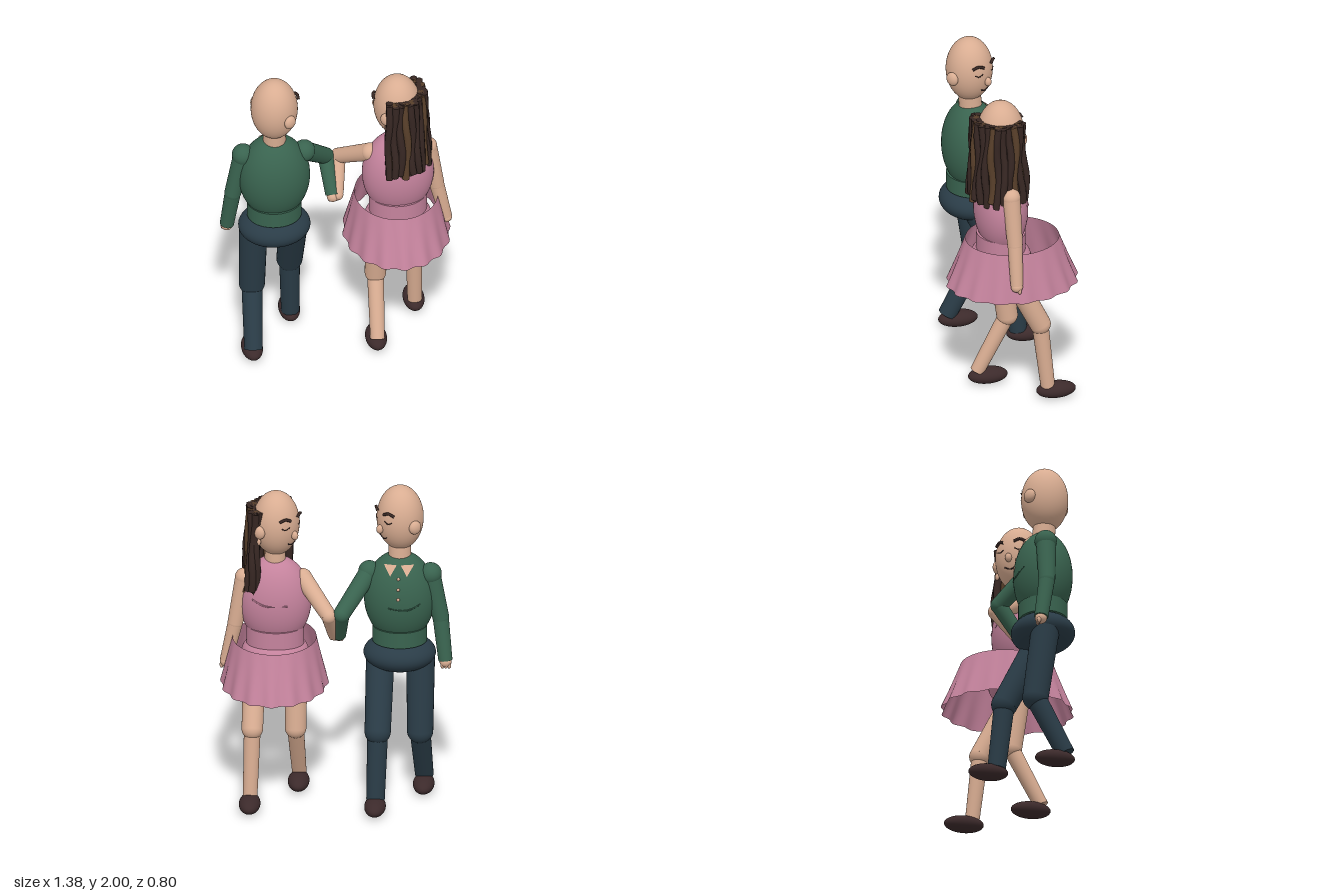
import * as THREE from 'three';

const paint = (name, color) => Object.assign(new THREE.MeshStandardMaterial({ color }), { name });
const V = (x, y, z) => new THREE.Vector3(x, y, z);

export function createModel() {
  const skin = paint('skin', 0xd9ad92);
  const green = paint('green shirt', 0x39634f);
  const navy = paint('navy trousers', 0x2a3c47);
  const pink = paint('pink dress', 0xc5839d);
  const leather = paint('shoe leather', 0x3c2a2b);
  const darkHair = paint('dark hair', 0x372723);
  const lightHair = paint('light hair', 0x583f2a);
  pink.side = THREE.DoubleSide;
  const root = new THREE.Group();
  root.name = 'walkingCouple';

  const add = (parent, name, geo, mat) => {
    const m = new THREE.Mesh(geo, mat);
    m.name = name;
    parent.add(m);
    return m;
  };
  const ball = (parent, name, p, rx, ry, rz, mat, seg = 32) => {
    const m = add(parent, name, new THREE.SphereGeometry(1, seg, Math.ceil(seg * 0.7)), mat);
    m.scale.set(rx, ry, rz);
    m.position.copy(p);
    return m;
  };
  // Tapered rod from a to b
  const rod = (parent, name, a, b, ra, rb, mat) => {
    const d = b.clone().sub(a);
    const m = add(parent, name, new THREE.CylinderGeometry(rb, ra, d.length(), 28), mat);
    m.position.copy(a).addScaledVector(d, 0.5);
    m.quaternion.setFromUnitVectors(V(0, 1, 0), d.normalize());
    return m;
  };
  const line = (parent, name, pts, r, mat, seg = 12, sides = 8) =>
    add(parent, name, new THREE.TubeGeometry(new THREE.CatmullRomCurve3(pts), seg, r, sides), mat);

  // Two-part limb with round joints
  function limb(parent, name, a, b, c, r, mat) {
    const g = new THREE.Group();
    g.name = name;
    parent.add(g);
    ball(g, name + 'UpperJoint', a, r[0], r[0], r[0], mat);
    rod(g, name + 'Upper', a, b, r[1], r[2], mat);
    ball(g, name + 'MiddleJoint', b, r[2], r[2], r[2], mat);
    rod(g, name + 'Lower', b, c, r[3], r[4], mat);
    return g;
  }

  // Arm with a small hand at the wrist
  function arm(parent, name, a, b, c, mat, r) {
    const g = limb(parent, name, a, b, c, r, mat);
    const d = c.clone().sub(b).normalize();
    ball(g, 'hand', c.clone().addScaledVector(d, 0.01), 0.036, 0.034, 0.036, skin, 20);
    for (let i = -1; i <= 1; i++)
      ball(g, 'finger', c.clone().addScaledVector(d, 0.03).add(V(i * 0.02, 0, -0.012)), 0.012, 0.02, 0.012, skin, 10);
  }

  // Bald head whose face points to local -z
  function head(parent, p, yaw, female) {
    const g = new THREE.Group();
    g.name = 'head';
    g.position.copy(p);
    g.rotation.y = yaw;
    parent.add(g);
    const R = 0.14, H = 0.2;
    const on = (a, y, out = 0) => {
      const r = R * Math.sqrt(1 - (y / H) ** 2) + out;
      return V(Math.sin(a) * r, y, -Math.cos(a) * r);
    };
    ball(g, 'skull', V(0, 0, 0), R, H, R, skin, 48);
    ball(g, 'nose', on(0, -0.045, 0.008), 0.02, 0.028, 0.022, skin, 20);
    for (const s of [-1, 1]) {
      ball(g, 'ear', V(s * 0.145, -0.02, 0.01), 0.026, 0.042, 0.04, skin, 24);
      line(g, 'eyebrow', [on(s * 0.22, 0.058, 0.008), on(s * 0.48, 0.072, 0.012), on(s * 0.74, 0.058, 0.01)], 0.009, darkHair);
      line(g, 'closedEye', [on(s * 0.26, 0.015, 0.001), on(s * 0.45, 0.004, 0.001), on(s * 0.64, 0.015, 0.001)], 0.003, darkHair);
      if (female) ball(g, 'earring', V(s * 0.148, -0.08, 0.01), 0.013, 0.022, 0.013, skin, 14);
    }
    line(g, 'mouth', [on(-0.3, -0.098, 0.001), on(0, -0.11, 0.001), on(0.3, -0.094, 0.001)], 0.004, leather);
    return g;
  }

  // Leg with shoe; forward leg swings towards -z
  function leg(parent, name, x, footX, forward, mat, r) {
    const hip = V(x, 0.9, 0.06);
    const knee = forward ? V(x + (footX - x) * 0.3, 0.5, -0.14) : V(x, 0.45, 0.0);
    const ankle = forward ? V(footX, 0.08, -0.185) : V(footX, 0.09, 0.18);
    const g = limb(parent, name, hip, knee, ankle, r, mat);
    ball(g, 'shoe', V(footX, 0.055, forward ? -0.235 : 0.115), 0.064, 0.05, 0.12, leather);
  }

  // ---- Man ----
  const man = new THREE.Group();
  man.name = 'man';
  root.add(man);
  const mx = -0.375;
  head(man, V(mx - 0.002, 1.8, 0.08), -0.93, false);
  rod(man, 'neck', V(mx, 1.5, 0.07), V(mx, 1.66, 0.08), 0.07, 0.066, skin);
  ball(man, 'shirtBody', V(mx, 1.295, 0.07), 0.213, 0.285, 0.175, green, 48);
  const hem = add(man, 'shirtHem', new THREE.CylinderGeometry(0.163, 0.163, 0.1, 40), green);
  hem.position.set(mx, 1.06, 0.07);
  hem.scale.z = 0.9;
  ball(man, 'hips', V(mx, 0.93, 0.07), 0.215, 0.108, 0.19, navy, 48);

  // Front surface of the shirt
  const chest = (cx, cy, w, h, d) => (x, y, out = 0) =>
    V(cx + x, y, 0.07 - d * Math.sqrt(Math.max(0, 1 - (x / w) ** 2 - ((y - cy) / h) ** 2)) - out);
  const shirt = chest(mx, 1.295, 0.213, 0.285, 0.175);
  for (const s of [-1, 1]) {
    const collar = new THREE.BufferGeometry().setFromPoints([
      shirt(s * 0.012, 1.535, 0.012), shirt(s * 0.05, 1.475, 0.01), shirt(s * 0.09, 1.53, 0.012)]);
    collar.setIndex(s > 0 ? [0, 2, 1] : [0, 1, 2]);
    collar.computeVertexNormals();
    add(man, 'collarPoint', collar, skin).material = skin;
  }
  for (const y of [1.46, 1.4, 1.34]) ball(man, 'button', shirt(0, y, 0), 0.01, 0.01, 0.006, skin, 12);
  line(man, 'shirtFold', [shirt(-0.13, 1.3), shirt(-0.05, 1.27), shirt(0.06, 1.28)], 0.005, green);

  const sleeve = [0.066, 0.058, 0.05, 0.048, 0.042];
  arm(man, 'rightArm', V(-0.56, 1.45, 0.05), V(-0.62, 1.17, 0.045), V(-0.65, 0.91, 0.005), green, sleeve);
  arm(man, 'leftArm', V(-0.195, 1.45, 0.06), V(-0.04, 1.25, -0.13), V(-0.018, 1.06, 0.005), green, sleeve);
  const trouser = [0.08, 0.085, 0.078, 0.062, 0.055];
  leg(man, 'rightLeg', -0.5, -0.515, false, navy, trouser);
  leg(man, 'leftLeg', -0.26, -0.245, true, navy, trouser);

  // ---- Woman ----
  const woman = new THREE.Group();
  woman.name = 'woman';
  root.add(woman);
  const wx = 0.365;
  const wHead = head(woman, V(0.36, 1.75, 0.07), 0.93, true);
  rod(woman, 'neck', V(wx, 1.42, 0.07), V(wx, 1.62, 0.07), 0.066, 0.06, skin);
  ball(woman, 'bodice', V(wx, 1.25, 0.07), 0.215, 0.285, 0.16, pink, 48);
  ball(woman, 'hips', V(wx, 0.92, 0.07), 0.2, 0.11, 0.18, pink, 40);
  const waist = add(woman, 'waist', new THREE.CylinderGeometry(0.172, 0.172, 0.12, 40), pink);
  waist.position.set(wx, 1.03, 0.07);
  waist.scale.z = 0.85;
  const dress = chest(wx, 1.25, 0.215, 0.285, 0.16);
  line(woman, 'bodiceFold', [dress(0.13, 1.3), dress(0.05, 1.27), dress(-0.08, 1.27)], 0.005, pink);

  // Open flared skirt with a wavy hem
  const skirtGeo = new THREE.LatheGeometry(
    [0, 0.25, 0.5, 0.75, 1].map(t => new THREE.Vector2(0.315 - 0.067 * t, 0.75 + 0.293 * t)), 128);
  const pos = skirtGeo.attributes.position;
  for (let i = 0; i < pos.count; i++) {
    const t = (pos.getY(i) - 0.75) / 0.293;
    const a = Math.atan2(pos.getX(i), pos.getZ(i));
    const k = 1 + 0.026 * (1 - t) * Math.cos(16 * a);
    pos.setX(i, pos.getX(i) * k);
    pos.setZ(i, pos.getZ(i) * k * (1.13 + 0.11 * (1 - t)));
  }
  skirtGeo.computeVertexNormals();
  add(woman, 'skirt', skirtGeo, pink).position.x = wx;

  const bare = [0.055, 0.054, 0.046, 0.045, 0.037];
  arm(woman, 'leftArm', V(0.548, 1.4, 0.05), V(0.6, 1.11, 0.04), V(0.655, 0.865, 0.043), skin, bare);
  arm(woman, 'rightArm', V(0.2, 1.4, 0.06), V(0.035, 1.24, -0.135), V(0.012, 1.065, 0.0), skin, bare);
  const bareLeg = [0.066, 0.068, 0.064, 0.05, 0.043];
  leg(woman, 'rightLeg', 0.24, 0.228, false, skin, bareLeg);
  leg(woman, 'leftLeg', 0.485, 0.5, true, skin, bareLeg);

  // Long wavy strands round the back of the head, in two layers
  const hair = new THREE.Group();
  hair.name = 'hair';
  wHead.add(hair);
  for (let row = 0; row < 2; row++) {
    const n = 15 - row;
    for (let i = 0; i < n; i++) {
      const a = (i / (n - 1) - 0.5) * (2.8 - row * 0.1);
      const r0 = 0.138 + row * 0.02;
      const end = -0.41 - 0.02 * Math.sin(i * 2.3 + row);
      const pts = [];
      for (let k = 0; k <= 6; k++) {
        const t = k / 6;
        const r = r0 + 0.025 * t + 0.008 * Math.sin(t * 7 + i * 1.7);
        const b = a + 0.045 * Math.sin(t * 8 + i * 1.1);
        pts.push(V(Math.sin(b) * r, 0.1 + (end - 0.1) * t, Math.cos(b) * r));
      }
      const mat = (i + row * 2) % 4 === 1 ? lightHair : darkHair;
      line(hair, 'strand', pts, 0.022, mat, 24, 10);
      // Flat cut ends
      for (const [p, turn] of [[pts[0], -1], [pts[6], 1]]) {
        const cap = add(hair, 'strandEnd', new THREE.CircleGeometry(0.022, 10), mat);
        cap.position.copy(p);
        cap.rotation.x = turn * Math.PI / 2;
      }
    }
  }
  skin.side = THREE.DoubleSide;
  return root;
}
